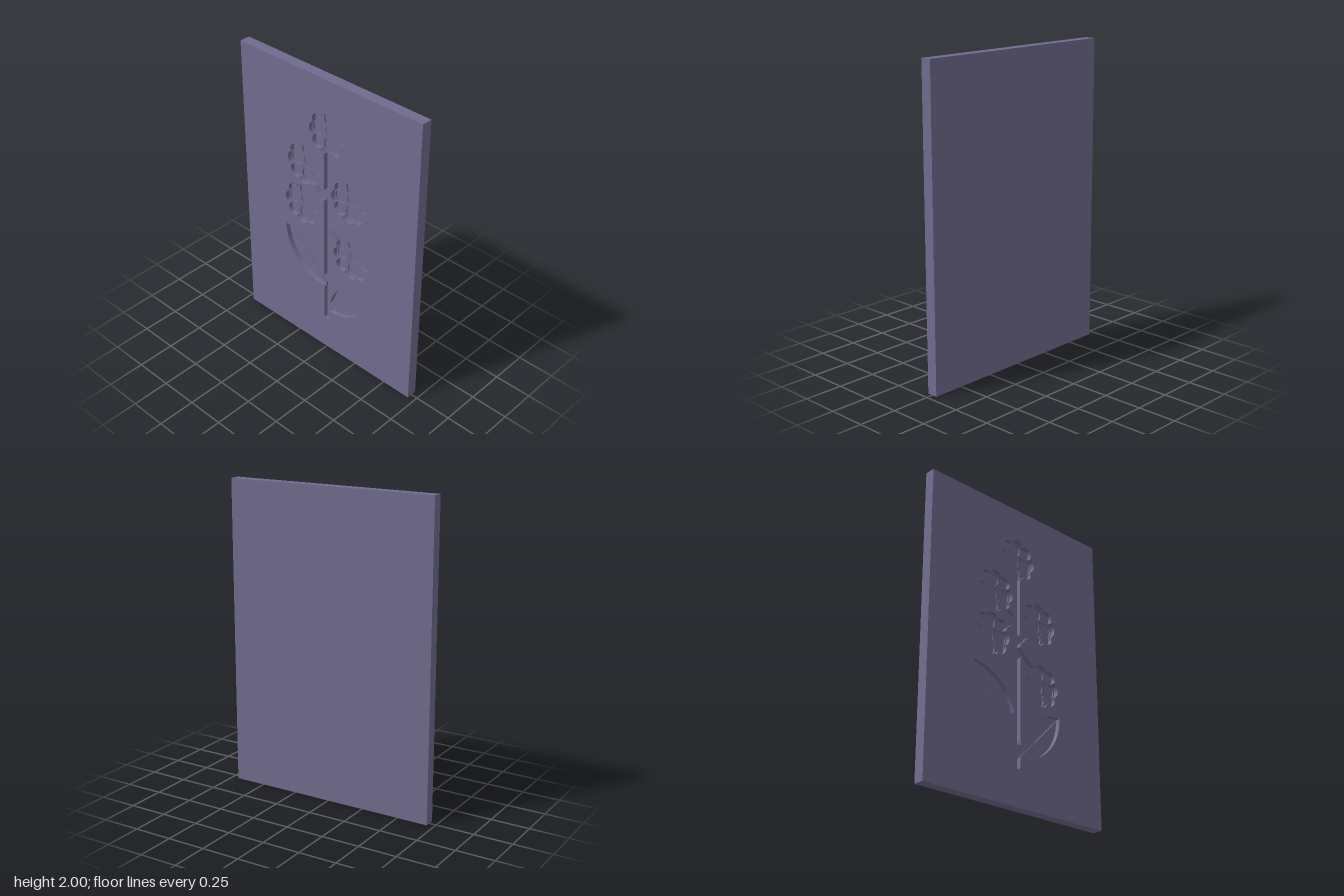
import * as THREE from 'three';

const W = 1.41, H = 2, FRONT = 0.035;
const PANEL = { x: 0.38, y0: 0.2, y1: 1.82, cell: 0.01 };
const FLOWERS = [[0, 1.635], [-0.185, 1.35], [0.18, 1.235], [-0.21, 1.05], [0.2, 0.82]];
const STEMS = [ // x0, y0, x1, y1
  [0, 0.256, 0, 1.55],
  [-0.01, 1.175, -0.185, 1.35], [0, 1.23, -0.19, 1.06],
  [0, 1.055, 0.18, 1.235], [0, 1.02, 0.2, 0.82],
];
const LEAVES = [ // base x, base y, side
  [-0.02, 0.5, -1], [0.02, 0.31, 1],
];
const LEAF = 0.333;

// Signed distances, negative inside
const disc = (x, y, cx, cy, r) => Math.hypot(x - cx, y - cy) - r;
function bar(x, y, [ax, ay, bx, by], r) {
  const dx = bx - ax, dy = by - ay;
  const t = THREE.MathUtils.clamp(((x - ax) * dx + (y - ay) * dy) / (dx * dx + dy * dy), 0, 1);
  return Math.hypot(x - ax - t * dx, y - ay - t * dy) - r;
}
// Leaf: overlap of two quarter circles
function leaf(x, y, [bx, by, side]) {
  const u = (x - bx) * side, v = y - by;
  return Math.max(disc(u, v, LEAF, 0, LEAF), disc(u, v, 0, LEAF, LEAF));
}
// Ring of four round petals
function petals(x, y, [cx, cy], turn, dist, r) {
  let d = Infinity;
  for (let i = 0; i < 4; i++) {
    const a = turn + i * Math.PI / 2;
    d = Math.min(d, disc(x, y, cx + dist * Math.cos(a), cy + dist * Math.sin(a), r));
  }
  return d;
}
const nearest = (list, f) => Math.min(...list.map(f));
const mainPetals = (x, y, f) => Math.min(petals(x, y, f, 0, 0.088, 0.053), disc(x, y, f[0], f[1], 0.075));

// Carving steps: each lies inside the one before
const STEPS = [
  { depth: 0.03, sdf: (x, y) => Math.min(
    nearest(STEMS, s => bar(x, y, s, 0.021)),
    nearest(LEAVES, l => leaf(x, y, l)),
    nearest(FLOWERS, f => Math.min(mainPetals(x, y, f), petals(x, y, f, Math.PI / 4, 0.1, 0.044)))) },
  { depth: 0.041, sdf: (x, y) => Math.min(
    nearest(FLOWERS, f => mainPetals(x, y, f) + 0.008),
    nearest(LEAVES, ([bx, by, s]) => bar(x, y, [bx, by, bx + s * 0.325, by + 0.325], 0.007))) },
  { depth: 0.047, sdf: (x, y) => nearest(FLOWERS, f => disc(x, y, f[0], f[1], 0.044)) },
];

// Cuts a polygon along sdf = 0; returns both parts and the cut edge
function split(poly, sdf) {
  const inside = [], outside = [], cut = [];
  const val = poly.map(p => sdf(p[0], p[1]));
  poly.forEach((a, i) => {
    const j = (i + 1) % poly.length, b = poly[j];
    (val[i] < 0 ? inside : outside).push(a);
    if ((val[i] < 0) !== (val[j] < 0)) {
      const t = val[i] / (val[i] - val[j]);
      const p = [a[0] + (b[0] - a[0]) * t, a[1] + (b[1] - a[1]) * t];
      inside.push(p);
      outside.push(p);
      cut[val[i] < 0 ? 0 : 1] = p;
    }
  });
  return { inside, outside, cut };
}

function carvedFace() {
  const pos = [];
  const fan = (pts, each) => {
    for (let i = 1; i < pts.length - 1; i++) each([pts[0], pts[i], pts[i + 1]]);
  };
  const levels = [FRONT, ...STEPS.map(s => FRONT - s.depth)];
  const carve = (tri, k) => {
    const z = levels[k];
    const flat = t => t.forEach(p => pos.push(p[0], p[1], z));
    if (k === STEPS.length) return flat(tri);
    const { inside, outside, cut } = split(tri, STEPS[k].sdf);
    fan(outside, flat);
    fan(inside, t => carve(t, k + 1));
    if (cut.length === 2) { // upright wall
      const [p, q] = cut, low = levels[k + 1];
      fan([[...p, z], [...q, z], [...q, low], [...p, low]], t => pos.push(...t.flat()));
    }
  };
  const { x: px, y0, y1, cell } = PANEL;
  const nx = Math.round(2 * px / cell), ny = Math.round((y1 - y0) / cell);
  const at = (i, j) => [-px + i * cell, y0 + j * cell];
  for (let j = 0; j < ny; j++) for (let i = 0; i < nx; i++) {
    fan([at(i, j), at(i + 1, j), at(i + 1, j + 1), at(i, j + 1)], t => carve(t, 0));
  }
  const geo = new THREE.BufferGeometry();
  geo.setAttribute('position', new THREE.Float32BufferAttribute(pos, 3));
  geo.computeVertexNormals();
  return geo;
}

const rectangle = (P, x, y0, y1) =>
  new P([[-x, y0], [x, y0], [x, y1], [-x, y1]].map(p => new THREE.Vector2(...p)));

export function createModel() {
  const group = new THREE.Group();
  group.name = 'carvedFlowerPlaque';
  const material = new THREE.MeshStandardMaterial({ color: 0x706b8e });
  const add = (name, geo) => {
    const mesh = new THREE.Mesh(geo, material);
    mesh.name = name;
    group.add(mesh);
  };

  // Board without its front face
  const board = new THREE.BoxGeometry(W, H, 2 * FRONT).translate(0, H / 2, 0);
  const index = Array.from(board.index.array);
  index.splice(24, 6);
  board.setIndex(index);
  board.clearGroups();
  add('board', board);

  // Plain border around the carving
  const border = rectangle(THREE.Shape, W / 2, 0, H);
  border.holes.push(rectangle(THREE.Path, PANEL.x, PANEL.y0, PANEL.y1));
  add('frontBorder', new THREE.ShapeGeometry(border).translate(0, 0, FRONT));

  // Sunken flowers, stems and leaves
  add('flowerCarving', carvedFace());
  return group;
}
